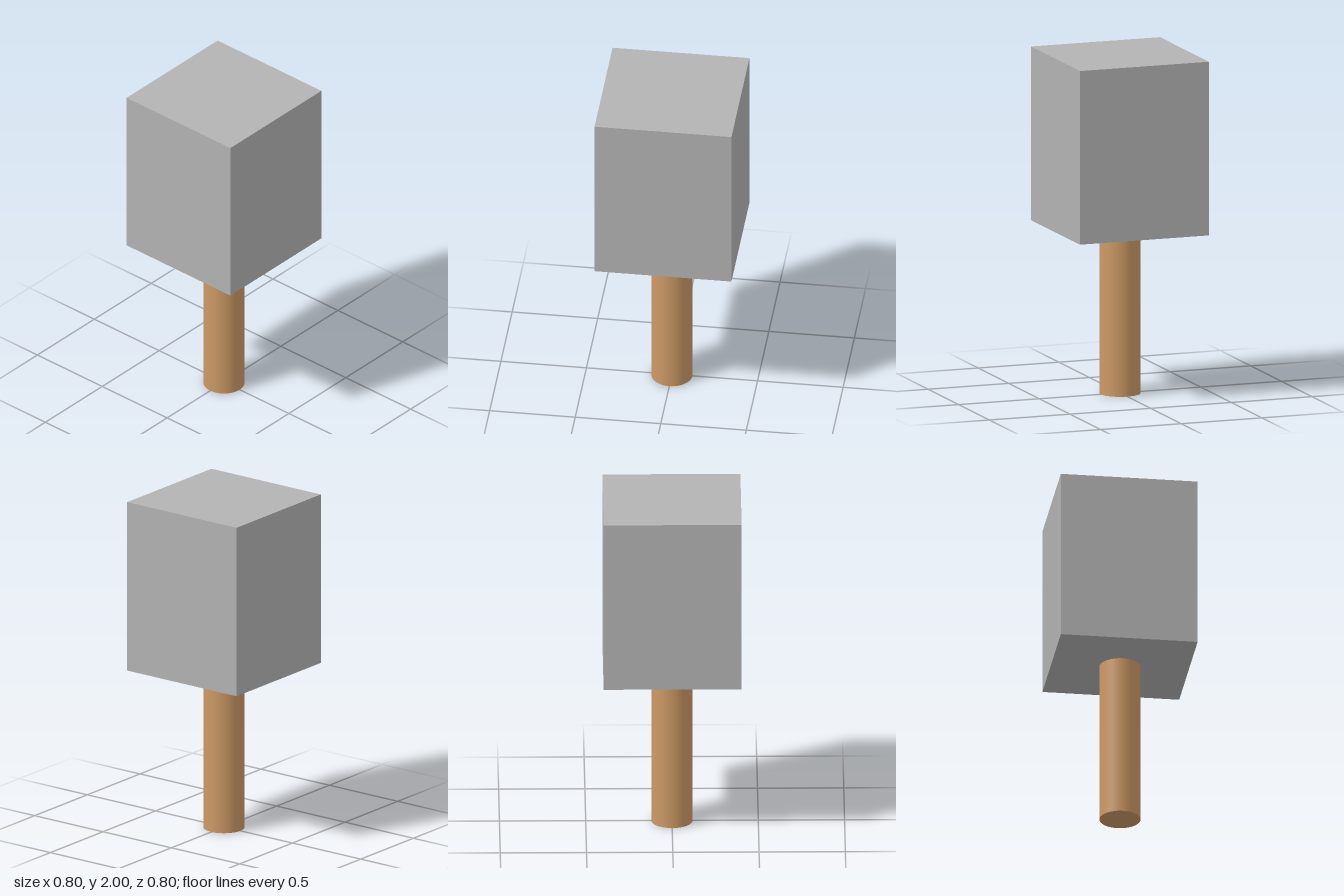
import * as THREE from 'three';

const HEAD_BOTTOM = 0.975;
const TOP = 2;

export function createModel() {
  const model = new THREE.Group();
  model.name = 'mallet';

  const stone = new THREE.MeshStandardMaterial({ color: 0xb3b3b3 });
  stone.name = 'grey head';
  const wood = new THREE.MeshStandardMaterial({ color: 0xcc9966 });
  wood.name = 'tan wood';

  // Square block head
  const headHeight = TOP - HEAD_BOTTOM;
  const head = new THREE.Mesh(new THREE.BoxGeometry(0.8, headHeight, 0.8), stone);
  head.name = 'head';
  head.position.y = HEAD_BOTTOM + headHeight / 2;

  // Round handle, meeting the underside of the head
  const handle = new THREE.Mesh(new THREE.CylinderGeometry(0.12, 0.12, HEAD_BOTTOM, 48), wood);
  handle.name = 'handle';
  handle.position.y = HEAD_BOTTOM / 2;

  model.add(head, handle);
  return model;
}
